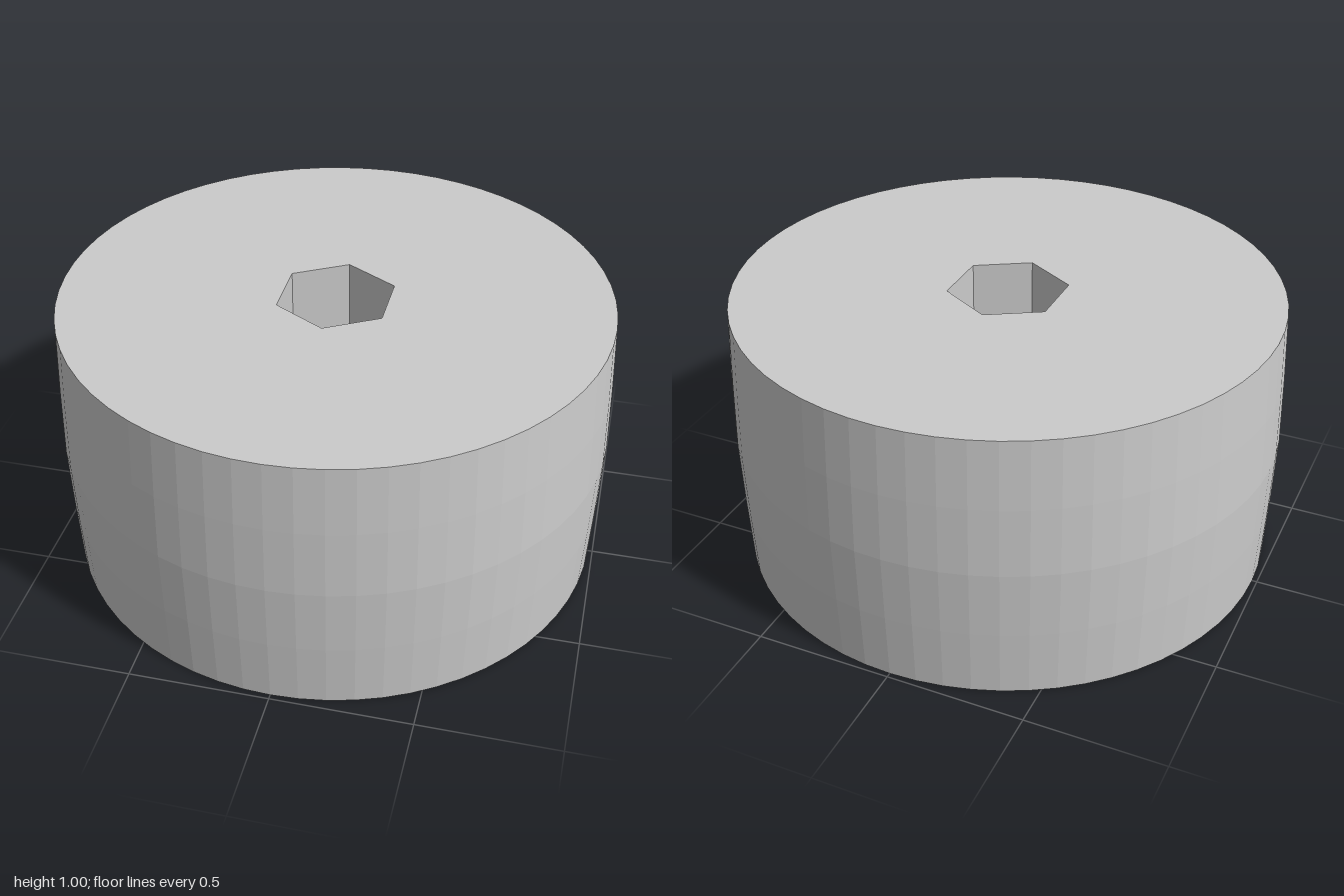
import * as THREE from 'three';

const SIDES = 64, HEX_R = 0.217;
const grey = (options = {}) => new THREE.MeshStandardMaterial({ color: 0xcccccc, flatShading: true, ...options });

function part(name, geometry, material = grey()) {
  const mesh = new THREE.Mesh(geometry, material);
  mesh.name = name;
  return mesh;
}

const turned = (profile) =>
  new THREE.LatheGeometry(profile.map(([r, y]) => new THREE.Vector2(r, y)), SIDES);

// Flat disc with a hexagonal hole, facing up or down
function hexDisc(name, radius, y, up) {
  const shape = new THREE.Shape().absarc(0, 0, radius, 0, Math.PI * 2);
  const hex = [];
  for (let i = 0; i < 6; i++) {
    const a = Math.PI / 2 + i * Math.PI / 3;
    hex.push(new THREE.Vector2(HEX_R * Math.cos(a), HEX_R * Math.sin(a)));
  }
  shape.holes.push(new THREE.Path(hex));
  const disc = part(name, new THREE.ShapeGeometry(shape, SIDES));
  disc.rotation.x = up ? -Math.PI / 2 : Math.PI / 2;
  disc.position.y = y;
  return disc;
}

export function createModel() {
  const model = new THREE.Group();
  model.name = 'rollerWheel';

  // Crowned tread around the core, slightly wider at mid height
  model.add(part('tread', turned([
    [0.8, 0], [0.982, 0], [0.993, 0.25], [1, 0.5], [0.993, 0.75], [0.982, 1], [0.8, 1],
  ])));

  // Core: hub side, recess floor, rim inner wall and rim underside
  model.add(part('core', turned([
    [0.43, 0], [0.45, 0.02], [0.45, 0.9], [0.67, 0.9], [0.67, 0.02], [0.69, 0], [0.8, 0],
  ])));

  // Closed top face and hub underside
  model.add(hexDisc('topFace', 0.8, 1, true));
  model.add(hexDisc('hubUnderside', 0.43, 0, false));

  // Hexagonal bore running right through
  const bore = part('hexBore', new THREE.CylinderGeometry(HEX_R, HEX_R, 1, 6, 1, true),
    grey({ side: THREE.BackSide }));
  bore.position.y = 0.5;
  model.add(bore);

  // Three spokes across the recess
  for (let i = 0; i < 3; i++) {
    const geometry = new THREE.BoxGeometry(0.25, 0.64, 0.08).translate(0.56, 0.59, 0);
    const spoke = part('spoke', geometry);
    spoke.rotation.y = i * Math.PI * 2 / 3;
    model.add(spoke);
  }
  return model;
}
